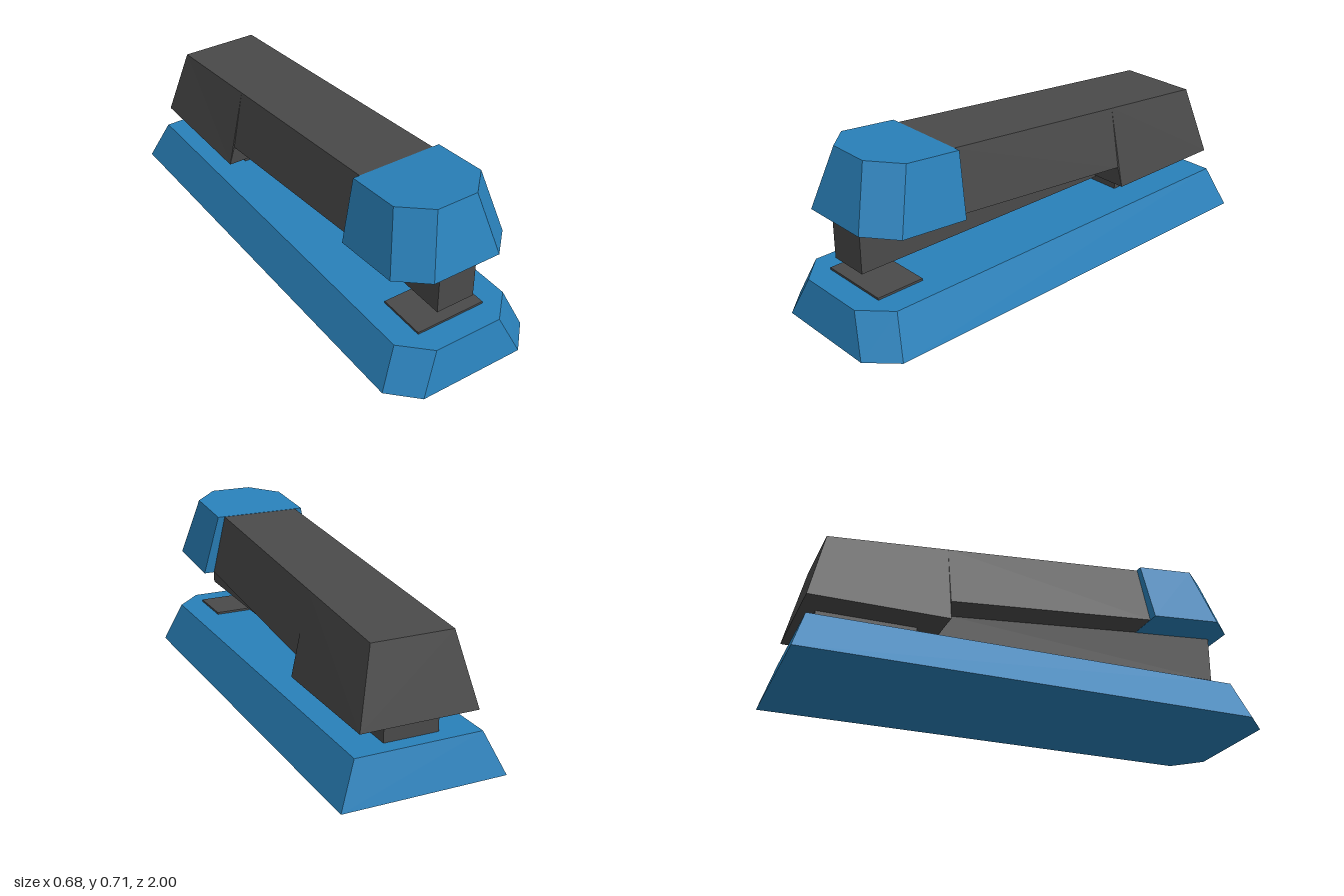
import * as THREE from 'three';

// Flat-faced solid through rings of points, each ring counterclockwise seen from the loft's end
function loft(rings) {
  const out = [];
  const tri = (a, b, c) => out.push(...a, ...b, ...c);
  const n = rings[0].length;
  for (let r = 0; r < rings.length - 1; r++) {
    for (let i = 0; i < n; i++) {
      const j = (i + 1) % n;
      tri(rings[r][i], rings[r][j], rings[r + 1][j]);
      tri(rings[r][i], rings[r + 1][j], rings[r + 1][i]);
    }
  }
  const first = rings[0], last = rings[rings.length - 1];
  for (let i = 1; i < n - 1; i++) {
    tri(first[0], first[i + 1], first[i]);
    tri(last[0], last[i], last[i + 1]);
  }
  const g = new THREE.BufferGeometry();
  g.setAttribute('position', new THREE.Float32BufferAttribute(out, 3));
  g.computeVertexNormals();
  return g;
}

// Horizontal outline with chamfered front corners: each argument is [half width, y, z]
const outline = (back, side, front) => {
  const m = ([x, y, z]) => [-x, y, z];
  return [back, m(back), m(side), m(front), front, side];
};

// Upright trapezoid: bottom and top corners as [half width, y, z]
const section = ([bx, by, bz], [tx, ty, tz]) => [
  [bx, by, bz], [tx, ty, tz], [-tx, ty, tz], [-bx, by, bz],
];

export function createModel() {
  const group = new THREE.Group();
  group.name = 'stapler';

  const blue = new THREE.MeshStandardMaterial({ color: 0x2980b9, flatShading: true });
  blue.name = 'blue plastic';
  const grey = new THREE.MeshStandardMaterial({ color: 0x4a4a4a, flatShading: true });
  grey.name = 'dark grey metal';

  const add = (name, geometry, material) => {
    const mesh = new THREE.Mesh(geometry, material);
    mesh.name = name;
    group.add(mesh);
    return mesh;
  };

  // Tapered base with chamfered front
  add('base', loft([
    outline([0.34, 0, -1], [0.34, 0, 0.89], [0.23, 0, 1]),
    outline([0.263, 0.171, -0.945], [0.263, 0.171, 0.85], [0.15, 0.171, 0.96]),
  ]), blue);

  // Nose cap, tilted with the arm
  add('noseCap', loft([
    outline([0.263, 0.425, 0.51], [0.263, 0.45, 0.81], [0.15, 0.46, 0.92]),
    outline([0.2, 0.682, 0.485], [0.2, 0.705, 0.73], [0.09, 0.715, 0.84]),
  ]), blue);

  // Arm with a deeper block at the rear, lofted from back to front
  const stepTop = [0.17, 0.601, -0.378];
  add('arm', loft([
    section([0.243, 0.258, -0.945], [0.17, 0.556, -0.873]),
    section([0.243, 0.258, -0.38], stepTop),
    section([0.221, 0.344, -0.375], stepTop),
    section([0.218, 0.426, 0.51], [0.17, 0.681, 0.486]),
  ]), grey);

  // Staple magazine under the arm
  add('magazine', loft([
    section([0.085, 0.25, -0.5], [0.085, 0.36, -0.5]),
    section([0.085, 0.259, 0.872], [0.085, 0.457, 0.872]),
  ]), grey);

  // Rear hinge block
  add('hingeBlock', new THREE.BoxGeometry(0.228, 0.12, 0.405), grey)
    .position.set(0, 0.215, -0.68);

  // Anvil plate on the base
  add('anvil', new THREE.BoxGeometry(0.31, 0.02, 0.21), grey)
    .position.set(0, 0.17, 0.75);

  return group;
}
